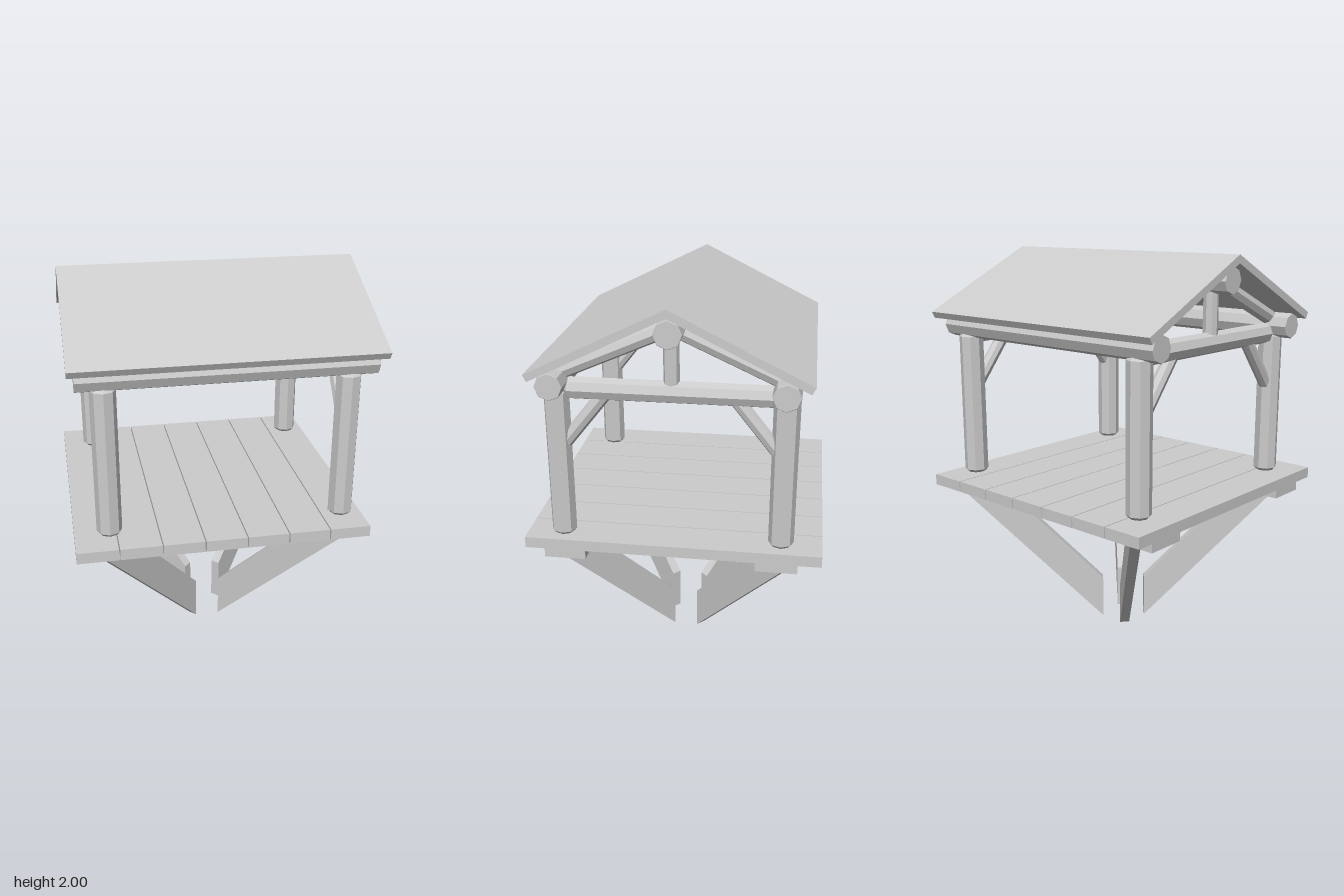
import * as THREE from 'three';

const material = new THREE.MeshStandardMaterial({ color: 0xcccccc, flatShading: true });
const UP = new THREE.Vector3(0, 1, 0);

export function createModel() {
  const model = new THREE.Group();

  function add(name, geometry) {
    const mesh = new THREE.Mesh(geometry, material);
    mesh.name = name;
    model.add(mesh);
    return mesh;
  }

  // Box given by its limits on each axis
  function board(name, x0, x1, y0, y1, z0, z1) {
    add(name, new THREE.BoxGeometry(x1 - x0, y1 - y0, z1 - z0))
      .position.set((x0 + x1) / 2, (y0 + y1) / 2, (z0 + z1) / 2);
  }

  // Eight-sided log from a to b, with chamfered ends
  function log(name, a, b, r, chamfer = 0.006) {
    const start = new THREE.Vector3(...a);
    const dir = new THREE.Vector3(...b).sub(start);
    const len = dir.length();
    const inner = Math.max(r - chamfer, r * 0.6);
    const profile = [[0, 0], [inner, 0], [r, chamfer], [r, len - chamfer], [inner, len], [0, len]]
      .map(([x, y]) => new THREE.Vector2(x, y));
    const mesh = add(name, new THREE.LatheGeometry(profile, 8));
    mesh.position.copy(start);
    mesh.quaternion.setFromUnitVectors(UP, dir.normalize());
  }

  function polygon(points) {
    return new THREE.Shape(points.map(([x, y]) => new THREE.Vector2(x, y)));
  }

  // Deck planks, with two flat bearers below
  for (let i = 0; i < 7; i++) {
    const x = -0.738 + i * 0.2025;
    board('deckPlank', x, x + 0.197, 0.785, 0.84, -0.713, 0.711);
  }
  board('frontBearer', -0.72, 0.657, 0.73, 0.785, 0.42, 0.622);
  board('backBearer', -0.72, 0.657, 0.73, 0.785, -0.602, -0.4);

  // Diagonal supports running from the corners towards the middle
  const d = Math.SQRT2;
  const support = polygon([[0.08 * d, 0], [0.592 * d, 0.73], [0.433 * d, 0.73], [0.08 * d, 0.225]]);
  for (let i = 0; i < 4; i++) {
    const geometry = new THREE.ExtrudeGeometry(support, { depth: 0.05, bevelEnabled: false });
    geometry.translate(0, 0, -0.025);
    geometry.rotateY(Math.PI / 4 + i * Math.PI / 2);
    add('diagonalSupport', geometry).position.set(-0.016, 0, 0.008);
  }

  // Gable frames
  const sides = [[0.537, 1], [-0.517, -1]];
  for (const x of [-0.57, 0.573]) {
    for (const [z, s] of sides) {
      log('post', [x, 0.83, z], [x, 1.59, z], 0.061, 0.025);
      log('kneeBrace', [x, 1.3, z - s * 0.02], [x, 1.57, z - s * 0.235], 0.034);
      log('rafter', [x, 1.65, z], [x, 1.885, 0], 0.041);
    }
    log('tieBeam', [x, 1.582, -0.475], [x, 1.582, 0.495], 0.053, 0.02);
    log('kingPost', [x, 1.61, 0.002], [x, 1.86, 0.002], 0.037);
  }

  // Long logs carrying the roof
  log('ridgeLog', [-0.695, 1.88, 0], [0.702, 1.88, 0], 0.065, 0.002);
  for (const [z] of sides) log('eaveLog', [-0.695, 1.622, z], [0.702, 1.622, z], 0.064, 0.002);

  // Gabled roof with square-cut eaves
  const roof = new THREE.ExtrudeGeometry(
    polygon([[0, 2], [-0.638, 1.687], [-0.621, 1.655], [0, 1.96], [0.621, 1.655], [0.638, 1.687]]),
    { depth: 1.462, bevelEnabled: false });
  roof.rotateY(Math.PI / 2);
  add('roof', roof).position.x = -0.727;

  return model;
}
